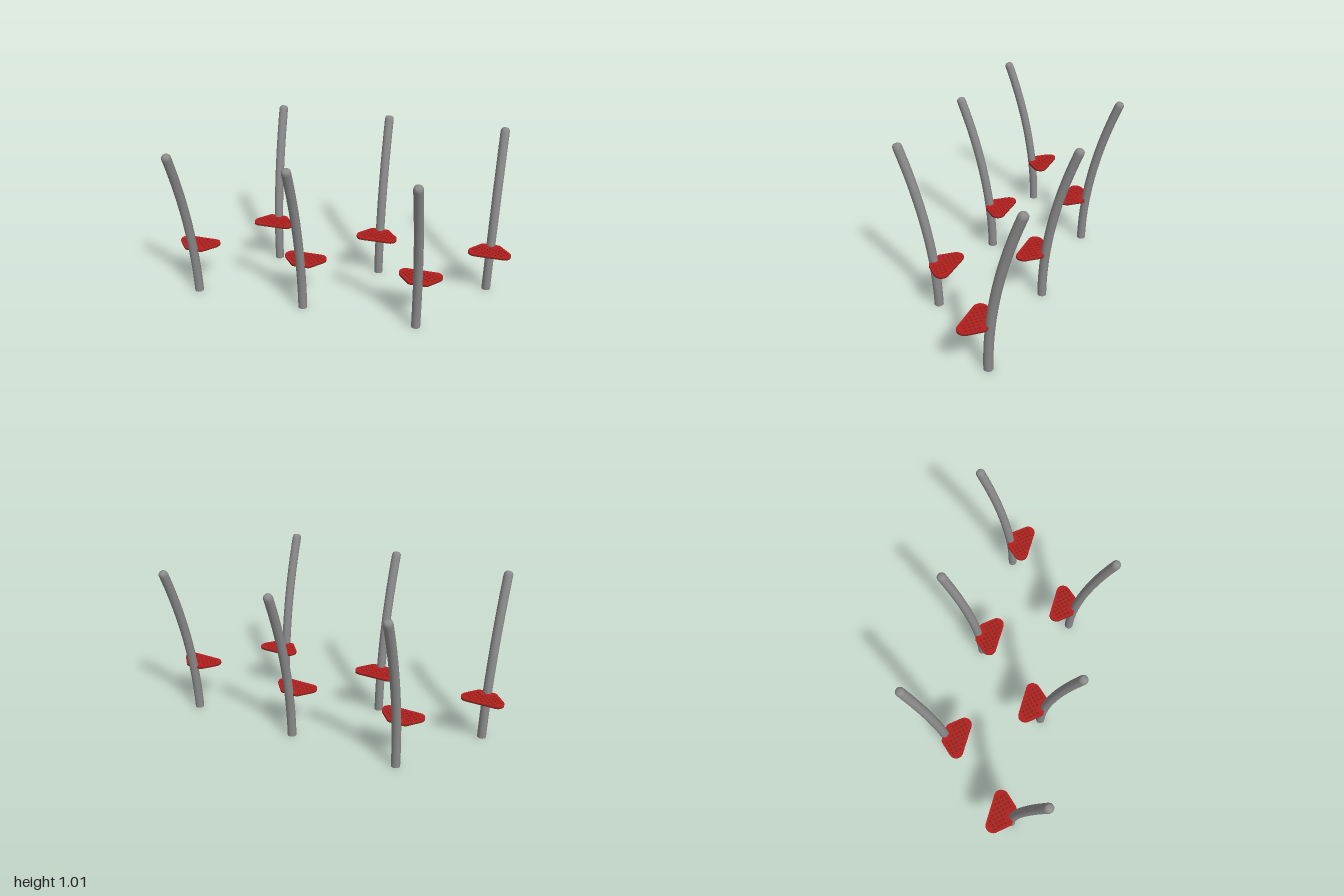
import * as THREE from 'three';

const R = 0.027;                                   // post radius
const TIP = new THREE.Vector3(0, 0.985, 0.193);    // end of the bent post
const NOTCH_Z = 0.018;                             // post centre at step height

const grey = new THREE.MeshStandardMaterial({ color: 0x8a8a8a });
const paleGrey = new THREE.MeshStandardMaterial({ color: 0xcccccc });
const red = new THREE.MeshStandardMaterial({ color: 0xb41e1e });
const brown = new THREE.MeshStandardMaterial({ color: 0x6e2c1c });

// Rounded trapezoid with a half-round notch that hugs the post
function stepOutline() {
  const s = new THREE.Shape();
  const w = 0.128, back = -0.126, front = 0.02;
  s.moveTo(-w + 0.042, back);
  s.lineTo(w - 0.042, back);
  s.bezierCurveTo(w - 0.002, back, w + 0.013, -0.078, w - 0.014, -0.05);
  s.lineTo(0.058, front - 0.006);
  s.quadraticCurveTo(0.05, front, 0.042, front);
  s.lineTo(R, front);
  s.absarc(0, NOTCH_Z, R, 0, Math.PI, true);
  s.lineTo(-R, front);
  s.lineTo(-0.042, front);
  s.quadraticCurveTo(-0.05, front, -0.058, front - 0.006);
  s.lineTo(-w + 0.014, -0.05);
  s.bezierCurveTo(-w - 0.013, -0.078, -w + 0.002, back, -w + 0.042, back);
  return s;
}

// True where a diamond opening fits inside the rim
function fits(x, z) {
  const a = Math.abs(x);
  return a < 0.104 && z < 0.002 && a + 0.87 * z < 0.046
    && a - z < 0.198 && Math.hypot(x, z - NOTCH_Z) > 0.043;
}

// Outline with staggered diamond openings
function treadOutline() {
  const shape = stepOutline();
  const d = 0.0095;
  for (let row = 0; row < 7; row++) {
    const z = -0.103 + row * 0.017;
    for (let i = -4; i <= 4; i++) {
      const x = (i + (row % 2) / 2) * 0.034;
      if (!fits(x, z)) continue;
      const hole = new THREE.Path();
      hole.moveTo(x + d, z);
      hole.lineTo(x, z - d);
      hole.lineTo(x - d, z);
      hole.lineTo(x, z + d);
      hole.closePath();
      shape.holes.push(hole);
    }
  }
  return shape;
}

// Horizontal plate hanging down from its top height
function flatPlate(shape, depth, top) {
  const geo = new THREE.ExtrudeGeometry(shape, { depth, curveSegments: 10, bevelEnabled: false });
  geo.rotateX(Math.PI / 2);
  geo.translate(0, top, 0);
  return geo;
}

function createParts() {
  const bend = new THREE.QuadraticBezierCurve3(
    new THREE.Vector3(), new THREE.Vector3(0, TIP.y / 2, 0), TIP);

  // Blunt dome closing the upper end
  const profile = [[1, 0], [0.97, 0.35], [0.86, 0.65], [0.66, 0.87], [0.38, 0.97], [0, 1]]
    .map(([r, y]) => new THREE.Vector2(r * R, y * R));
  const cap = new THREE.LatheGeometry(profile, 24);
  cap.applyQuaternion(new THREE.Quaternion().setFromUnitVectors(
    new THREE.Vector3(0, 1, 0), bend.getTangent(1)));
  cap.translate(TIP.x, TIP.y, TIP.z);

  return [
    ['post', new THREE.TubeGeometry(bend, 28, R, 24), grey],
    ['postCap', cap, grey],
    ['postBase', new THREE.CircleGeometry(R, 24).rotateX(Math.PI / 2), paleGrey],
    ['stepTread', flatPlate(treadOutline(), 0.006, 0.31), red],
    ['stepBase', flatPlate(stepOutline(), 0.007, 0.304), brown],
  ];
}

export function createModel() {
  const model = new THREE.Group();
  model.name = 'steppingPosts';
  const parts = createParts();

  // Two staggered rows leaning away from each other: [x, z]
  const places = [
    [-0.872, 0.248], [-0.186, 0.248], [0.512, 0.257],
    [-0.515, -0.257], [0.171, -0.257], [0.871, -0.248],
  ];
  places.forEach(([x, z], i) => {
    const unit = new THREE.Group();
    unit.name = `steppingPost${i + 1}`;
    for (const [name, geometry, material] of parts) {
      const mesh = new THREE.Mesh(geometry, material);
      mesh.name = name;
      unit.add(mesh);
    }
    unit.position.set(x, 0, z);
    if (z < 0) unit.rotation.y = Math.PI;
    model.add(unit);
  });
  return model;
}
